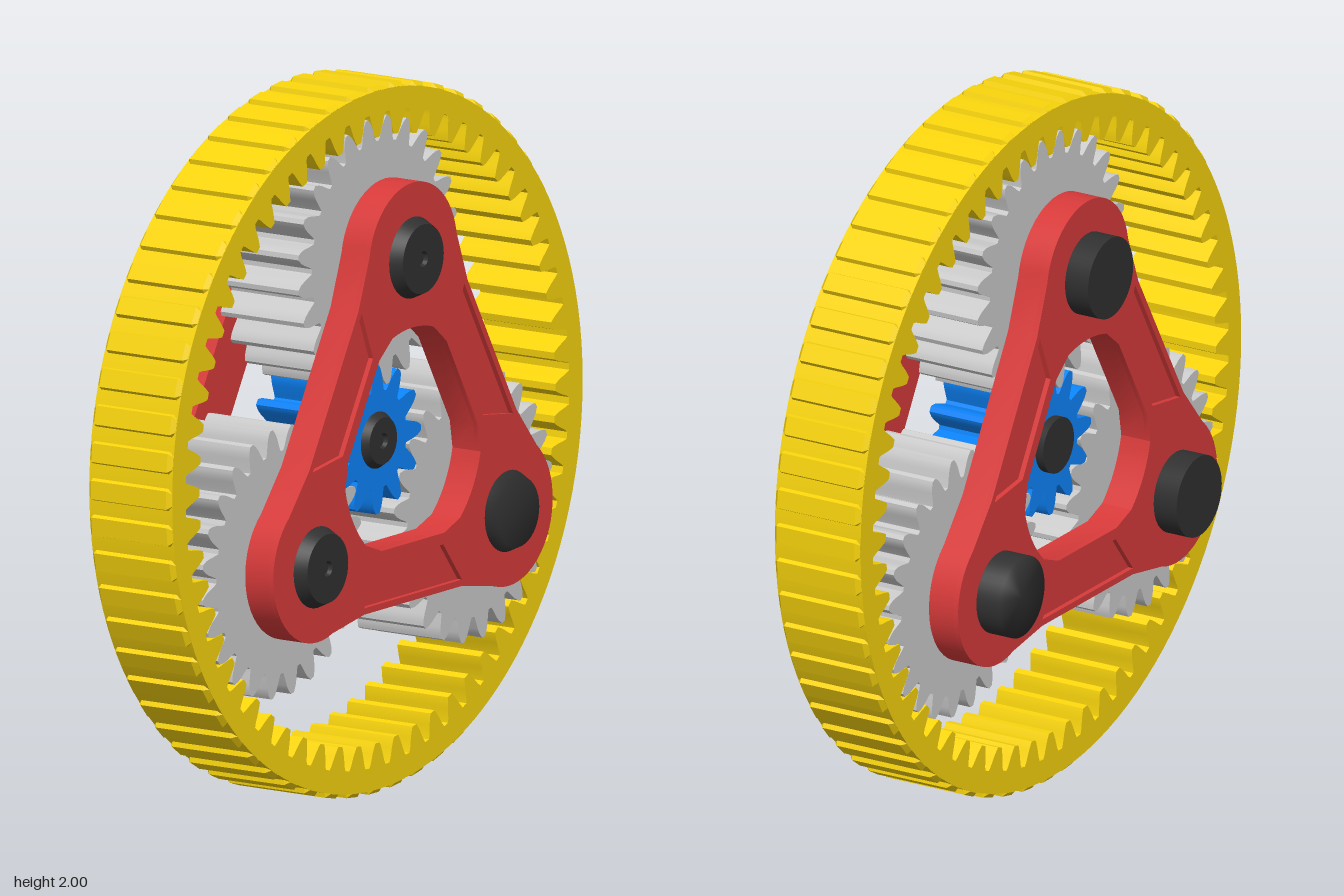
import * as THREE from 'three';
import { toCreasedNormals } from 'three/addons/utils/BufferGeometryUtils.js';

const TAU = Math.PI * 2;
const mat = (color) => new THREE.MeshStandardMaterial({ color });
const YELLOW = mat(0xf8d40c), RED = mat(0xd83a3a), BLUE = mat(0x0c84fa);
const DARK = mat(0x303030), GREY = mat(0xcccccc);
const Z0 = -0.12, Z1 = 0.16, MID = 0.02;   // gear faces and mid plane
const ORBIT = 0.53;                        // planet distance from the sun

const polar = (r, a) => new THREE.Vector2(r * Math.cos(a), r * Math.sin(a));

function mesh(name, geometry, material) {
  const m = new THREE.Mesh(geometry, material);
  m.name = name;
  return m;
}

// Closed toothed outline; flank = [radius, half width as a share of the pitch]
function toothed(n, flank, phase) {
  const pts = [];
  for (let i = 0; i < n; i++) {
    const a = phase + (i / n) * TAU;
    flank.forEach(([r, w]) => pts.push(polar(r, a - (w / n) * TAU)));
    [...flank].reverse().forEach(([r, w]) => pts.push(polar(r, a + (w / n) * TAU)));
  }
  return pts;
}

const circle = (r, n) => Array.from({ length: n }, (_, i) => polar(r, (i / n) * TAU));

function extrude(outline, holes, z0, z1, bevel = 0) {
  const shape = new THREE.Shape(outline);
  holes.forEach((h) => shape.holes.push(new THREE.Path(h)));
  const geo = new THREE.ExtrudeGeometry(shape, {
    depth: z1 - z0 - 2 * bevel, bevelEnabled: bevel > 0, bevelThickness: bevel,
    bevelSize: bevel, bevelOffset: -bevel, bevelSegments: 1,
  });
  geo.translate(0, 0, z0 + bevel);
  return toCreasedNormals(geo, 0.4);
}

// Spur gear with curved flanks
function gear(name, teeth, root, pitch, tip, bore, phase, material) {
  const flank = [[root, 0.42], [root + 0.01, 0.36], [pitch, 0.25],
    [(pitch + tip) / 2, 0.18], [tip - 0.005, 0.11], [tip, 0.07]];
  return mesh(name, extrude(toothed(teeth, flank, phase), [circle(bore, 32)], Z0, Z1), material);
}

// Round pin along z, chamfered and dimpled at the front
function pin(name, r, z0, z1, chamferR, chamferZ, smooth) {
  const dimple = smooth ? [] : [[0.022, z1], [0.018, z1 - 0.012]];
  const profile = [[0, z0], [r, z0], [r, z1 - chamferZ], [chamferR, z1], ...dimple,
    [0, smooth ? z1 : z1 - 0.012]].map(([x, y]) => new THREE.Vector2(x, y));
  const geo = new THREE.LatheGeometry(profile, 40).rotateX(Math.PI / 2);
  return mesh(name, smooth ? geo : toCreasedNormals(geo, 0.4), DARK);
}

// Three-lobed carrier plate with recessed bar panels, facing +z
function carrier(name) {
  const outer = [], inner = [], panels = [];
  for (let k = 0; k < 3; k++) {
    const lobe = Math.PI / 2 + (k / 3) * TAU, bar = lobe + TAU / 6;
    const centre = polar(ORBIT, lobe);
    // point at distance d from the middle, shifted t along the bar
    const onBar = (d, t) => polar(d, bar).add(polar(t, bar + Math.PI / 2));
    for (let i = 0; i <= 24; i++) {
      outer.push(polar(0.212, lobe + (i / 12 - 1) * 1.4).add(centre));
    }
    outer.push(onBar(0.438, -0.235), onBar(0.438, 0.235));
    for (let i = 0; i <= 8; i++) inner.push(polar(0.333, lobe + (i / 4 - 1) * 0.3));
    inner.push(onBar(0.273, -0.15), onBar(0.273, 0.15));
    panels.push([onBar(0.305, -0.145), onBar(0.42, -0.235), onBar(0.42, 0.235), onBar(0.305, 0.145)]);
  }
  const g = new THREE.Group();
  g.name = name;
  g.add(mesh('carrierPlate', extrude(outer, [inner], 0.165, 0.245), RED));
  g.add(mesh('carrierFace', extrude(outer, [inner, ...panels], 0.245, 0.26), RED));
  return g;
}

export function createModel() {
  const model = new THREE.Group();
  model.name = 'planetaryGearSet';
  const set = new THREE.Group();
  set.name = 'gearSet';
  set.position.y = 1;
  model.add(set);

  // Ring gear: internal teeth and a ribbed rim
  const ring = new THREE.Group();
  ring.name = 'ringGear';
  const inside = toothed(60, [[0.922, 0.4], [0.91, 0.34], [0.883, 0.25], [0.865, 0.17], [0.855, 0.11]], Math.PI / 2);
  ring.add(mesh('ringBody', extrude(circle(0.986, 120), [inside], Z0, Z1), YELLOW));
  const ribs = toothed(60, [[0.984, 0.31], [0.999, 0.25]], Math.PI / 2);
  ring.add(mesh('rimRibs', extrude(ribs, [circle(0.95, 60)], Z0 + 0.001, Z1 - 0.001, 0.012), YELLOW));
  set.add(ring);

  // Sun gear and its shaft
  set.add(gear('sunGear', 12, 0.14, 0.177, 0.209, 0.07, Math.PI / 2, BLUE));
  set.add(pin('sunShaft', 0.08, -0.145, 0.18, 0.066, 0.02, false));

  // Planets with their pins
  for (let k = 0; k < 3; k++) {
    const a = Math.PI / 2 + (k / 3) * TAU;
    const planet = new THREE.Group();
    planet.name = 'planet' + (k + 1);
    planet.position.set(ORBIT * Math.cos(a), ORBIT * Math.sin(a), 0);
    planet.add(gear('planetGear', 24, 0.315, 0.353, 0.382, 0.11, a + TAU / 48, GREY));
    planet.add(pin('planetPin', 0.117, -0.315, 0.315, 0.098, 0.04, k === 2));
    set.add(planet);
  }

  // Carrier plates, front and back
  const front = carrier('frontCarrier');
  front.position.z = MID;
  const back = carrier('backCarrier');
  back.position.z = MID;
  back.rotation.y = Math.PI;
  set.add(front, back);

  return model;
}
